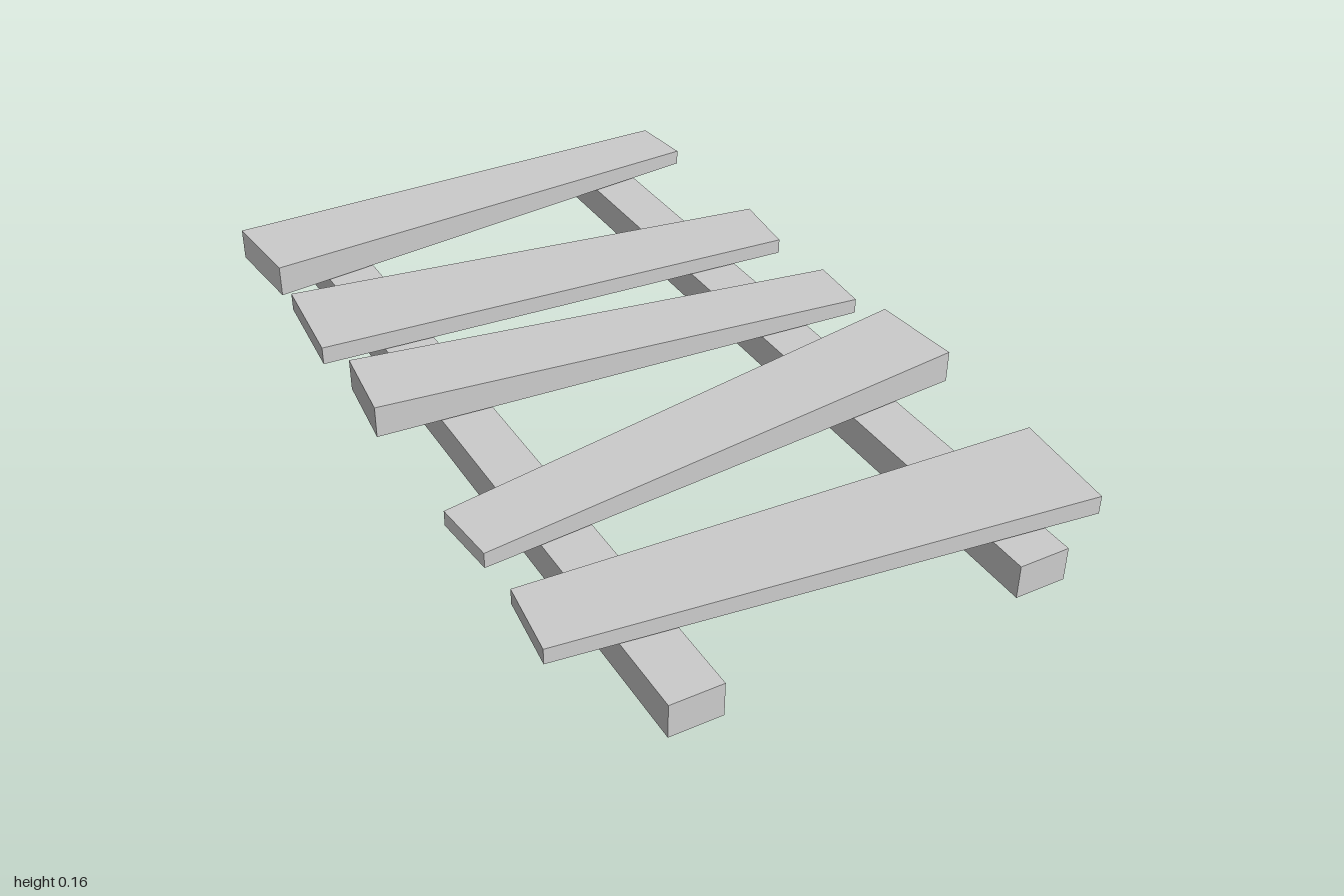
import * as THREE from 'three';

const material = new THREE.MeshStandardMaterial({ color: 0xcccccc, flatShading: true });
const BOTTOM = 0.083;

// Each plank end: [x back, z back, x front, z front, top height]
const planks = [
  { right: [-0.61, -0.89, -0.59, -0.67, 0.16], left: [0.59, -0.97, 0.605, -0.815, 0.12] },
  { right: [-0.59, -0.595, -0.61, -0.335, 0.127], left: [0.605, -0.44, 0.585, -0.265, 0.12] },
  { right: [-0.59, -0.21, -0.61, -0.01, 0.16], left: [0.6, -0.09, 0.59, 0.065, 0.12] },
  { right: [-0.605, 0.34, -0.59, 0.5, 0.12], left: [0.585, 0.185, 0.605, 0.405, 0.16] },
  { right: [-0.59, 0.62, -0.61, 0.8, 0.12], left: [0.61, 0.685, 0.585, 0.945, 0.127] },
];

// A box whose corners are moved to the given plank ends
function taperedPlank({ right, left }) {
  const geometry = new THREE.BoxGeometry(1, 1, 1);
  const pos = geometry.attributes.position;
  for (let i = 0; i < pos.count; i++) {
    const end = pos.getX(i) < 0 ? right : left;
    const k = pos.getZ(i) < 0 ? 0 : 2;
    pos.setXYZ(i, end[k], pos.getY(i) < 0 ? BOTTOM : end[4], end[k + 1]);
  }
  geometry.computeVertexNormals();
  return geometry;
}

export function createModel() {
  const model = new THREE.Group();
  model.name = 'plankWalkway';

  // Two long rails on the ground
  for (const [name, side] of [['leftRail', 1], ['rightRail', -1]]) {
    const rail = new THREE.Mesh(new THREE.BoxGeometry(0.12, 0.08, 2), material);
    rail.name = name;
    rail.position.set(side * 0.4, 0.04, 0);
    model.add(rail);
  }

  // Crooked tapered planks laid across, back to front
  planks.forEach((ends, i) => {
    const plank = new THREE.Mesh(taperedPlank(ends), material);
    plank.name = `plank${i + 1}`;
    model.add(plank);
  });

  return model;
}
